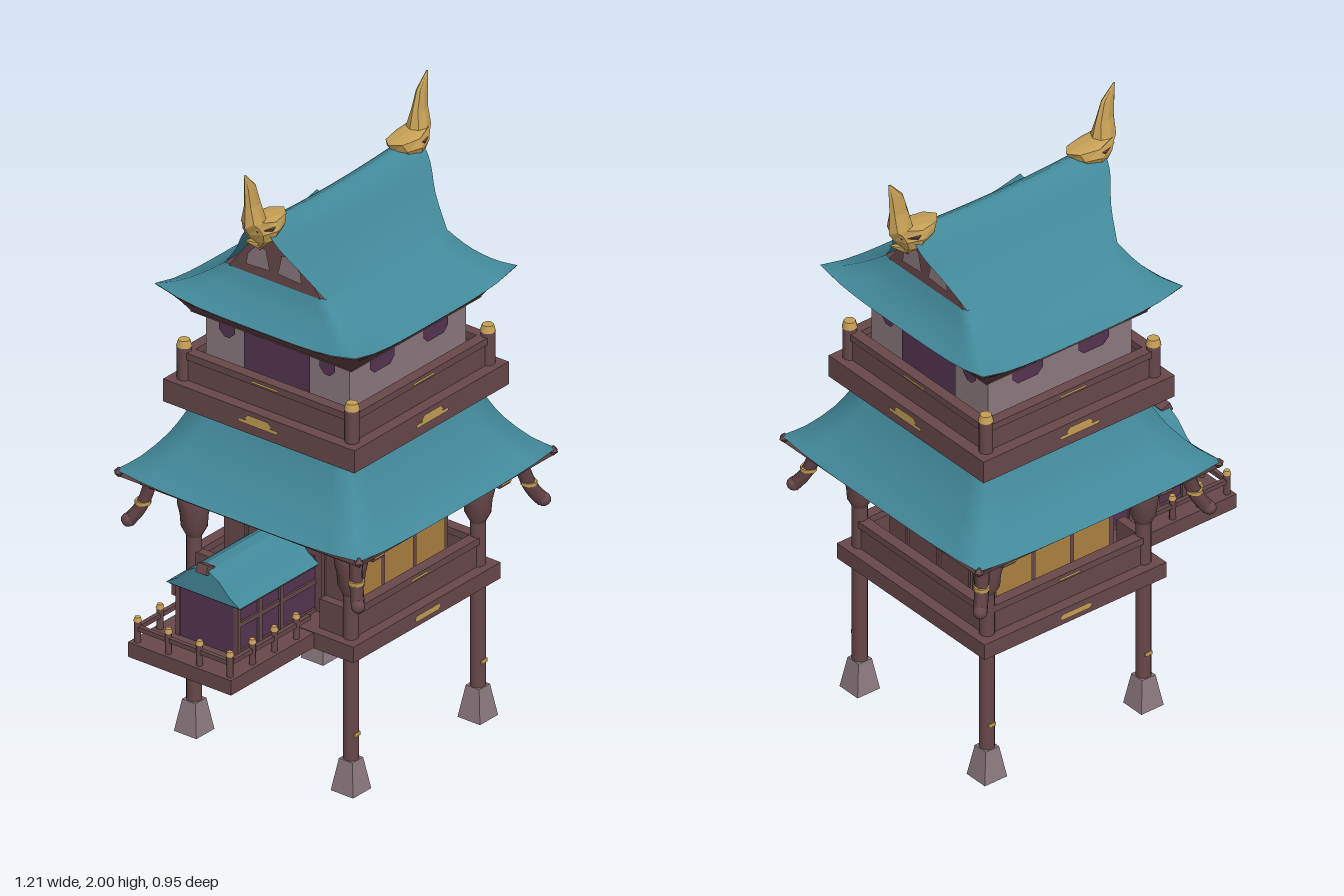
import * as THREE from 'three';

const mat = (name, color, side = THREE.FrontSide) => {
  const m = new THREE.MeshStandardMaterial({ color, side });
  m.name = name;
  return m;
};
const TEAL = mat('roofTeal', 0x42899a, THREE.DoubleSide);
const WOOD = mat('darkWood', 0x68484b);
const GOLD = mat('gold', 0xc59f55);
const PANEL = mat('ochrePanel', 0xab803f);
const GREY = mat('greyPlaster', 0x8a797e);
const PLUM = mat('plum', 0x553450);
const SOFFIT = mat('soffitWood', 0x5e4043, THREE.DoubleSide);

export function createModel() {
  const model = new THREE.Group();
  model.name = 'watchtower';
  const tower = new THREE.Group();
  tower.name = 'tower';
  tower.position.x = 0.128;
  model.add(tower);

  const add = (parent, name, geo, m, x = 0, y = 0, z = 0) => {
    const mesh = new THREE.Mesh(geo, m);
    mesh.name = name;
    mesh.position.set(x, y, z);
    parent.add(mesh);
    return mesh;
  };
  // box spanning y0..y1
  const box = (parent, name, m, w, y0, y1, d, x = 0, z = 0) =>
    add(parent, name, new THREE.BoxGeometry(w, y1 - y0, d), m, x, (y0 + y1) / 2, z);
  // group turned to face one side: 0 front, 1 left, 2 back, 3 right
  const facing = (i) => {
    const g = new THREE.Group();
    g.name = ['front', 'left', 'back', 'right'][i] + 'Side';
    g.rotation.y = (i * Math.PI) / 2;
    tower.add(g);
    return g;
  };
  // thin panel with cut corners
  const plate = (parent, name, m, w, h, x, y, z, c = 0.012) => {
    const a = w / 2, b = h / 2;
    const s = new THREE.Shape([[-a + c, -b], [a - c, -b], [a, -b + c], [a, b - c], [a - c, b],
      [-a + c, b], [-a, b - c], [-a, -b + c]].map(p => new THREE.Vector2(...p)));
    return add(parent, name, new THREE.ShapeGeometry(s), m, x, y, z + 0.004);
  };
  // smooth surface from f(u, v)
  const surface = (nu, nv, f) => {
    const pos = [], idx = [];
    for (let j = 0; j <= nv; j++) for (let i = 0; i <= nu; i++) pos.push(...f(i / nu, j / nv));
    for (let j = 0; j < nv; j++) for (let i = 0; i < nu; i++) {
      const a = j * (nu + 1) + i, b = a + nu + 1;
      idx.push(a, b, a + 1, a + 1, b, b + 1);
    }
    const g = new THREE.BufferGeometry();
    g.setAttribute('position', new THREE.Float32BufferAttribute(pos, 3));
    g.setIndex(idx);
    g.computeVertexNormals();
    return g;
  };
  const curve = pts => new THREE.CatmullRomCurve3(pts.map(p => new THREE.Vector3(...p)));
  // four-sided skirt through [halfX, y, halfZ] points, corners lifted at the bottom
  const skirt = (pts, lift, nv = 8) => {
    const c = curve(pts);
    return surface(48, nv, (u, v) => {
      const a = u * Math.PI * 2, cx = Math.cos(a), cz = Math.sin(a);
      const m = Math.max(Math.abs(cx), Math.abs(cz)), p = c.getPoint(v);
      const k = Math.min(Math.abs(cx), Math.abs(cz)) / m;
      return [p.x * cx / m, p.y + lift * k ** 4 * (1 - v) ** 2, p.z * cz / m];
    });
  };
  const corners = [[1, 1], [1, -1], [-1, -1], [-1, 1]];
  const S = 0.297;

  // Legs, feet, capitals and drooping corner brackets
  const capital = new THREE.LatheGeometry([[0.024, 0.65], [0.04, 0.68], [0.043, 0.72], [0.05, 0.75],
    [0.05, 0.79], [0.035, 0.83]].map(p => new THREE.Vector2(...p)), 10);
  for (const [sx, sz] of corners) {
    const foot = add(tower, 'foot', new THREE.CylinderGeometry(0.036, 0.06, 0.105, 4).toNonIndexed(),
      GREY, sx * S, 0.0525, sz * S);
    foot.geometry.rotateY(Math.PI / 4);
    foot.geometry.computeVertexNormals();
    add(tower, 'leg', new THREE.CylinderGeometry(0.024, 0.024, 0.72, 12), WOOD, sx * S, 0.46, sz * S);
    add(tower, 'capital', capital, WOOD, sx * S, 0, sz * S);
    box(tower, 'beamEnd', WOOD, 0.05, 0.8, 0.85, 0.14, sx * S, sz * 0.33);
    box(tower, 'beamCap', GOLD, 0.045, 0.81, 0.85, 0.008, sx * S, sz * 0.403);
    box(tower, 'legMark', GOLD, 0.025, 0.185, 0.197, 0.008, sx * S, sz * (S + 0.022));
    const path = curve([[0.385, 0.86], [0.395, 0.8], [0.41, 0.75], [0.435, 0.708]]
      .map(([d, y]) => [sx * d, y, sz * d]));
    add(tower, 'cornerBracket', new THREE.TubeGeometry(path, 8, 0.022, 6), SOFFIT);
    add(tower, 'bracketTip', new THREE.IcosahedronGeometry(0.022, 1), WOOD, sx * 0.435, 0.712, sz * 0.435);
    add(tower, 'bracketBand', new THREE.CylinderGeometry(0.025, 0.025, 0.012, 8), GOLD, sx * 0.404, 0.77, sz * 0.404);
    add(tower, 'eaveTip', new THREE.OctahedronGeometry(0.018), WOOD, sx * 0.455, 0.872, sz * 0.455);
    // upper balcony posts
    add(tower, 'balconyPost', new THREE.CylinderGeometry(0.022, 0.022, 0.11, 10), WOOD, sx * 0.318, 1.23, sz * 0.318);
    add(tower, 'balconyPostCap', new THREE.CylinderGeometry(0.018, 0.024, 0.022, 10), GOLD, sx * 0.318, 1.293, sz * 0.318);
  }

  // Decks and rooms
  box(tower, 'lowerDeck', WOOD, 0.69, 0.455, 0.508, 0.69);
  box(tower, 'lowerRoom', WOOD, 0.47, 0.5, 0.85, 0.47);
  box(tower, 'upperDeck', WOOD, 0.724, 1.1, 1.175, 0.724);
  box(tower, 'upperRoom', GREY, 0.544, 1.17, 1.43, 0.544);

  for (let i = 0; i < 4; i++) {
    const g = facing(i), long = i % 2 === 0;
    // beams and railings
    box(g, 'eaveBeam', WOOD, 0.6, 0.785, 0.83, 0.05, 0, S - 0.02);
    if (i < 3) {
      box(g, 'lowerRail', WOOD, 0.57, 0.505, 0.585, 0.024, 0, S);
      box(g, 'lowerRailTop', WOOD, 0.57, 0.582, 0.605, 0.036, 0, S);
    } else for (const s of [-1, 1]) box(g, 'lowerRailShort', WOOD, 0.1, 0.505, 0.605, 0.03, s * 0.24, S);
    box(g, 'upperRail', WOOD, 0.62, 1.17, 1.25, 0.024, 0, 0.312);
    box(g, 'upperRailTop', WOOD, 0.62, 1.245, 1.268, 0.036, 0, 0.312);
    // gilded ornaments
    plate(g, 'upperDeckOrnament', GOLD, 0.1, 0.026, 0, 1.15, 0.362);
    plate(g, 'upperDeckOrnamentBase', GOLD, 0.15, 0.012, 0, 1.138, 0.362, 0.004);
    plate(g, 'upperRailOrnament', GOLD, 0.1, 0.008, 0, 1.257, 0.33, 0.002);
    if (long) {
      plate(g, 'lowerDeckOrnament', GOLD, 0.12, 0.02, 0, 0.483, 0.345, 0.008);
      plate(g, 'lowerRailOrnament', GOLD, 0.08, 0.008, 0, 0.594, 0.315, 0.002);
    }
    // wall panels
    plate(g, 'plasterBand', GREY, 0.46, 0.065, 0, 0.752, 0.235);
    for (const x of [-0.147, 0, 0.147]) {
      if (long) plate(g, 'ochreScreen', PANEL, 0.136, 0.18, x, 0.628, 0.235);
      else box(g, 'wallBatten', WOOD, 0.012, 0.51, 0.72, 0.012, x, 0.236);
    }
    if (long) for (const s of [-1, 1]) plate(g, 'upperWindow', PLUM, 0.115, 0.09, s * 0.125, 1.37, 0.272, 0.02);
    else {
      plate(g, 'upperDoor', PLUM, 0.25, 0.23, 0, 1.295, 0.272, 0.02);
      for (const s of [-1, 1]) plate(g, 'upperSidePanel', PLUM, 0.06, 0.07, s * 0.19, 1.37, 0.272, 0.02);
    }
  }

  // Lower roof with wooden underside
  add(tower, 'lowerRoof', skirt([[0.462, 0.862, 0.462], [0.41, 0.91, 0.41], [0.35, 0.99, 0.35],
    [0.315, 1.06, 0.315], [0.295, 1.11, 0.295]], 0.018), TEAL);
  add(tower, 'lowerEave', skirt([[0.41, 0.828, 0.41], [0.462, 0.862, 0.462]], 0, 1), SOFFIT);
  box(tower, 'lowerSoffit', WOOD, 0.82, 0.825, 0.845, 0.82);

  // Upper roof: hipped skirt, then a flaring gable
  add(tower, 'upperRoofSkirt', skirt([[0.38, 1.465, 0.38], [0.345, 1.496, 0.32], [0.31, 1.54, 0.255],
    [0.285, 1.59, 0.19]], 0.03), TEAL);
  const eave = curve([[0.305, 1.4, 0.305], [0.335, 1.43, 0.335], [0.378, 1.463, 0.378]]);
  add(tower, 'upperEave', surface(48, 5, (u, v) => {
    const a = u * Math.PI * 2, cx = Math.cos(a), cz = Math.sin(a), p = eave.getPoint(v);
    const m = Math.max(Math.abs(cx), Math.abs(cz)), k = Math.min(Math.abs(cx), Math.abs(cz)) / m;
    return [p.x * cx / m, p.y + 0.028 * k ** 4 * v, p.z * cz / m];
  }), SOFFIT);
  box(tower, 'upperSoffit', WOOD, 0.61, 1.395, 1.42, 0.61);
  const slope = curve([[0.36, 1.8, 0], [0.363, 1.775, 0.04], [0.355, 1.74, 0.07], [0.318, 1.67, 0.12],
    [0.285, 1.59, 0.19]]);
  add(tower, 'upperRoofGable', surface(20, 24, (u, v) => {
    const t = 2 * u - 1, w = 1 - 2 * v, p = slope.getPoint(Math.abs(w));
    return [p.x * t, p.y + 0.02 * (t * t - 0.3) * (1 - Math.abs(w)), p.z * Math.sign(w)];
  }), TEAL);
  for (const s of [1, -1]) {
    const g = new THREE.Group();
    g.name = 'gableEnd';
    g.rotation.y = s * Math.PI / 2;
    tower.add(g);
    const tri = pts => new THREE.Shape(pts.map(p => new THREE.Vector2(...p)));
    add(g, 'gableWall', new THREE.ExtrudeGeometry(tri([[-0.175, 1.585], [0.175, 1.585], [0.11, 1.67], [0.06, 1.74],
      [0, 1.785], [-0.06, 1.74], [-0.11, 1.67]]), { depth: 0.02, bevelEnabled: false }), WOOD, 0, 0, 0.267);
    for (const k of [1, -1]) {
      const pts = [[k * 0.015, 1.62], [k * 0.105, 1.615], [k * 0.1, 1.65], [k * 0.065, 1.69], [k * 0.03, 1.685]];
      add(g, 'gablePanel', new THREE.ShapeGeometry(tri(pts)), GREY, 0, 0, 0.291);
    }
  }

  // Ridge horns from horizontal rings: y, inner x, outer x, half depth
  const rings = [[1.735, 0.35, 0.37, 0.01], [1.765, 0.3, 0.39, 0.045], [1.795, 0.265, 0.41, 0.055],
    [1.822, 0.245, 0.428, 0.045], [1.835, 0.345, 0.427, 0.035], [1.89, 0.358, 0.425, 0.018],
    [1.95, 0.377, 0.428, 0.011], [2.0, 0.424, 0.43, 0.002]];
  for (const s of [1, -1]) {
    const geo = surface(8, rings.length - 1, (u, v) => {
      const [y, a, b, d] = rings[Math.round(v * (rings.length - 1))], t = u * Math.PI * 2;
      return [(a + b) / 2 + (b - a) / 2 * Math.cos(t), y, d * Math.sin(t)];
    }).toNonIndexed();
    geo.computeVertexNormals();
    if (s < 0) geo.rotateY(Math.PI);
    add(tower, 'ridgeHorn', geo, GOLD);
    const base = add(tower, 'hornBase', new THREE.ConeGeometry(0.055, 0.09, 6).toNonIndexed(), WOOD, s * 0.355, 1.765, 0);
    base.geometry.rotateX(Math.PI);
    base.geometry.computeVertexNormals();
    const spur = add(tower, 'hornSpur', new THREE.ConeGeometry(0.022, 0.09, 4), GOLD, s * 0.39, 1.765, 0);
    spur.rotation.z = -s * 1.1;
  }

  // Side annex: deck, railing, hut and curved roof
  const annex = new THREE.Group();
  annex.name = 'annex';
  model.add(annex);
  box(annex, 'annexDeck', WOOD, 0.42, 0.457, 0.506, 0.39, -0.395);
  const posts = [[-0.585, 0.06], [-0.585, -0.058]];
  for (const z of [-0.175, 0.175]) {
    for (const x of [-0.585, -0.48, -0.378, -0.275]) posts.push([x, z]);
    box(annex, 'annexRail', WOOD, 0.37, 0.545, 0.56, 0.014, -0.4, z);
  }
  box(annex, 'annexEndRail', WOOD, 0.014, 0.545, 0.56, 0.35, -0.585);
  for (const [x, z] of posts) {
    add(annex, 'annexPost', new THREE.CylinderGeometry(0.01, 0.01, 0.075, 8), WOOD, x, 0.54, z);
    add(annex, 'annexPostCap', new THREE.CylinderGeometry(0.009, 0.013, 0.014, 8), GOLD, x, 0.582, z);
  }
  box(annex, 'hut', PLUM, 0.37, 0.505, 0.69, 0.22, -0.29);
  for (const z of [-0.11, 0.11]) {
    for (const x of [-0.47, -0.37, -0.27]) box(annex, 'hutPost', WOOD, 0.016, 0.505, 0.685, 0.016, x, z);
    for (const y of [0.505, 0.6, 0.665]) box(annex, 'hutBeam', WOOD, 0.36, y, y + 0.015, 0.014, -0.29, z);
  }
  const profile = [[-0.14, 0.68], [-0.1, 0.705], [-0.06, 0.745], [-0.02, 0.768], [0.02, 0.768],
    [0.06, 0.745], [0.1, 0.705], [0.14, 0.68]].map(p => new THREE.Vector2(...p));
  const hutRoof = new THREE.ExtrudeGeometry(new THREE.Shape(profile), { depth: 0.37, bevelEnabled: false });
  hutRoof.rotateY(Math.PI / 2);
  add(annex, 'hutRoof', hutRoof, TEAL, -0.495, 0, 0);
  box(annex, 'hutSoffit', WOOD, 0.36, 0.672, 0.682, 0.27, -0.305);
  box(annex, 'hutRidgeOrnament', WOOD, 0.035, 0.75, 0.78, 0.04, -0.485).rotation.z = -0.4;

  return model;
}
